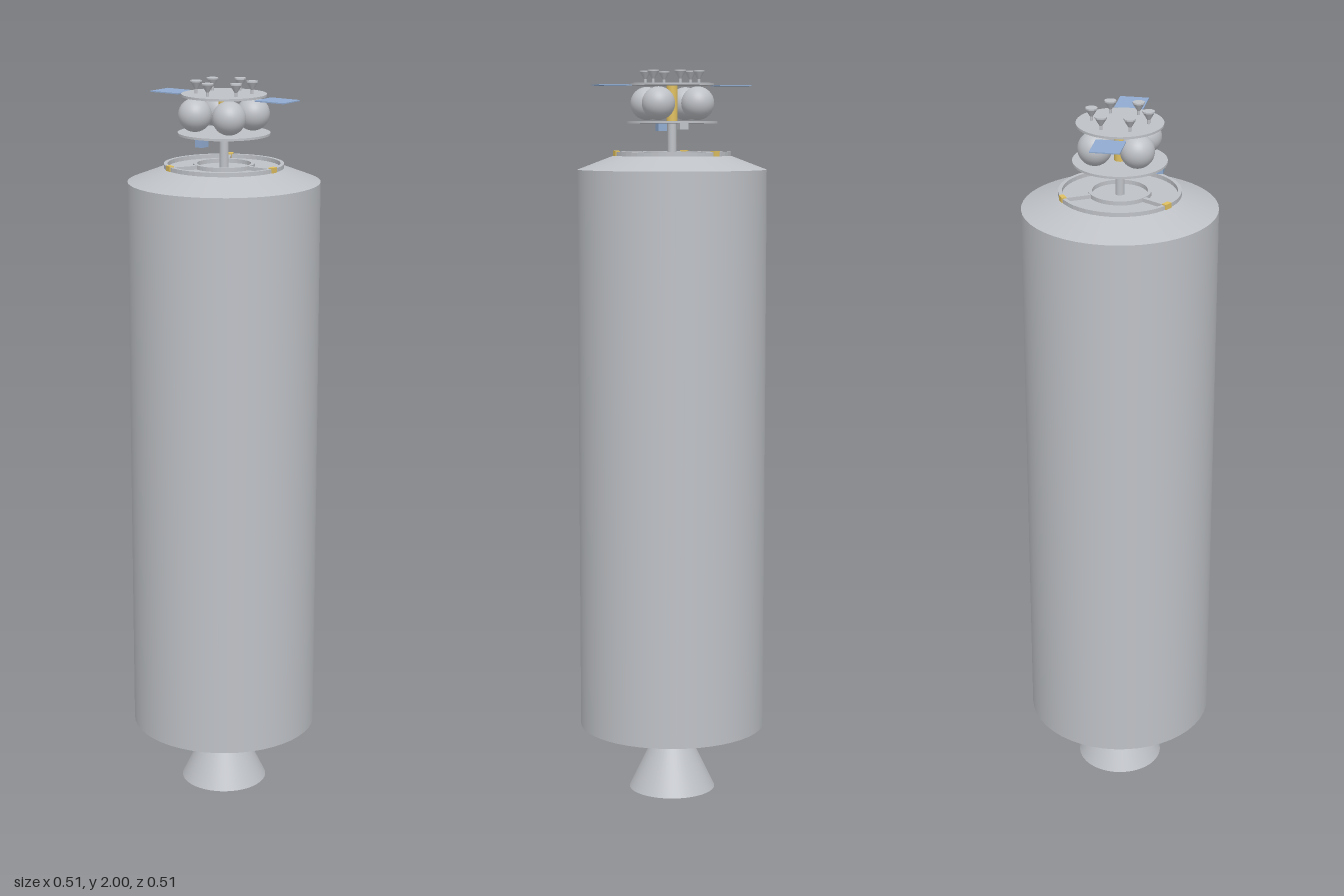
import * as THREE from 'three';

export function createModel() {
  const root = new THREE.Group();
  const grey = new THREE.MeshStandardMaterial({ color: 0xbec1c6 });
  grey.name = 'light grey metal';
  const blue = new THREE.MeshStandardMaterial({ color: 0x90abd0 });
  blue.name = 'solar blue';
  const gold = new THREE.MeshStandardMaterial({ color: 0xe0c060 });
  gold.name = 'gold foil';

  const add = (name, geometry, material, x = 0, y = 0, z = 0, parent = root) => {
    const mesh = new THREE.Mesh(geometry, material);
    mesh.name = name;
    mesh.position.set(x, y, z);
    parent.add(mesh);
    return mesh;
  };
  // Upright cylinder or cone given by its bottom and top heights
  const column = (name, rBottom, rTop, y0, y1, material = grey, x = 0, z = 0, sides = 48) =>
    add(name, new THREE.CylinderGeometry(rTop, rBottom, y1 - y0, sides), material, x, (y0 + y1) / 2, z);
  // Flat ring with a square section
  const ring = (name, rInner, rOuter, y0, y1) => {
    const profile = [[rInner, y0], [rOuter, y0], [rOuter, y1], [rInner, y1], [rInner, y0]]
      .map(([r, y]) => new THREE.Vector2(r, y));
    const geometry = new THREE.LatheGeometry(profile, 48).toNonIndexed();
    geometry.computeVertexNormals();
    add(name, geometry, grey);
  };

  // Rocket stage
  column('engineNozzle', 0.12, 0.03, 0, 0.188);
  column('stageBody', 0.257, 0.257, 0.186, 1.735);
  column('stageShoulder', 0.257, 0.16, 1.735, 1.772);

  // Payload adapter: two rings joined by three spokes with gold clamps
  ring('adapterOuterRing', 0.15, 0.16, 1.771, 1.783);
  ring('adapterInnerRing', 0.072, 0.082, 1.771, 1.783);
  for (let i = 0; i < 3; i++) {
    const arm = new THREE.Group();
    arm.name = 'adapterArm';
    arm.rotation.y = (i * Math.PI * 2) / 3;
    root.add(arm);
    add('spoke', new THREE.BoxGeometry(0.012, 0.01, 0.074), grey, 0, 1.777, 0.116, arm);
    add('clamp', new THREE.BoxGeometry(0.022, 0.014, 0.013), gold, 0, 1.779, 0.156, arm);
  }

  // Satellite core on its post
  column('mountPost', 0.012, 0.012, 1.77, 1.862, grey, 0, 0, 20);
  column('lowerDeck', 0.123, 0.123, 1.859, 1.865);
  column('coreTube', 0.015, 0.015, 1.864, 1.961, gold, 0, 0, 20);
  column('upperDeck', 0.113, 0.113, 1.96, 1.966);

  // Four propellant tanks between the decks
  for (const x of [-0.055, 0.055])
    for (const z of [-0.055, 0.055])
      add('tank', new THREE.SphereGeometry(0.0445, 32, 20), grey, x, 1.912, z);

  // Six funnel antennas on the upper deck
  for (let i = 0; i < 6; i++) {
    const a = (i * Math.PI) / 3;
    const x = 0.074 * Math.cos(a), z = 0.074 * Math.sin(a);
    column('antennaStem', 0.004, 0.004, 1.965, 1.985, grey, x, z, 12);
    column('antennaHorn', 0.004, 0.0155, 1.977, 1.996, grey, x, z, 24);
    column('antennaRim', 0.0155, 0.0155, 1.996, 2, grey, x, z, 24);
  }

  // Solar panels at front and back
  for (const s of [-1, 1])
    add('solarPanel', new THREE.BoxGeometry(0.077, 0.003, 0.09), blue, 0, 1.96, s * 0.169);

  // Small sensors under the lower deck
  add('blueSensor', new THREE.BoxGeometry(0.028, 0.022, 0.024), blue, -0.1, 1.849, 0);
  add('greySensor', new THREE.BoxGeometry(0.026, 0.018, 0.024), grey, 0.096, 1.851, 0);

  return root;
}
